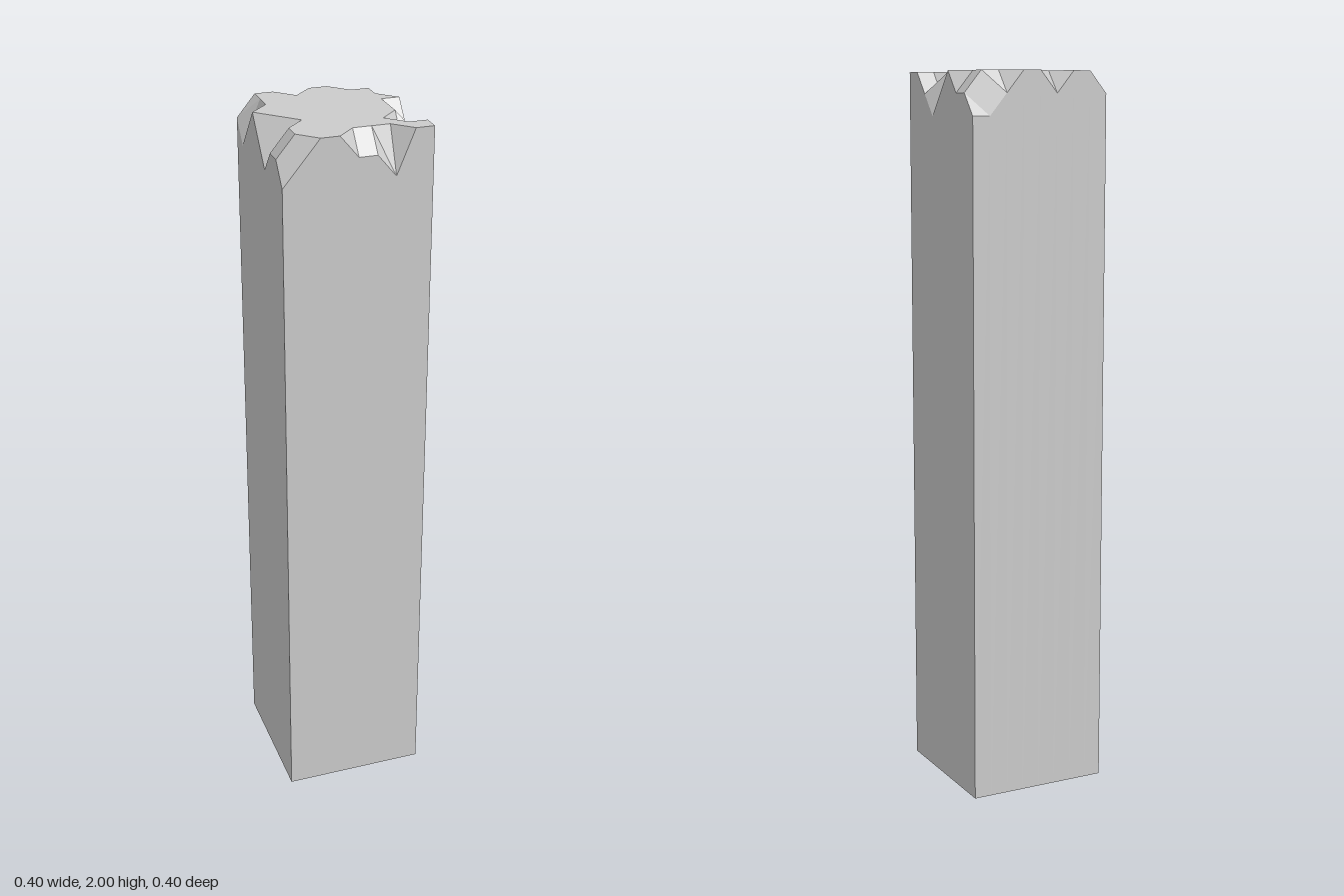
import * as THREE from 'three';

const N = 8, HALF = 0.2, STEP = 0.05, TOP = 2, CHIP = 0.06;

// Chip depth (in CHIP units) on the grid of the top: rows run back to front, columns -x to +x
const chips = [
  '100100122',
  '200000001',
  '100000001',
  '000000000',
  '100000001',
  '210000002',
  '100000011',
  '100000000',
  '210011200',
];
// Cells (column,row) split along the hollow diagonal
const hollow = ['5,7', '0,1', '6,0', '7,3', '7,0'];

const point = (i, j) => [-HALF + i * STEP, TOP - CHIP * Number(chips[j][i]), -HALF + j * STEP];
const foot = (p) => [p[0], 0, p[2]];

function mesh(name, triangles) {
  const geometry = new THREE.BufferGeometry();
  geometry.setAttribute('position', new THREE.Float32BufferAttribute(triangles.flat(2), 3));
  geometry.computeVertexNormals();
  const part = new THREE.Mesh(geometry, new THREE.MeshStandardMaterial({ color: 0xcccccc, flatShading: true }));
  part.name = name;
  return part;
}

// Top surface: flat in the middle, chipped along the rim
function chippedTop() {
  const tris = [];
  for (let j = 0; j < N; j++) {
    for (let i = 0; i < N; i++) {
      const a = point(i, j), b = point(i, j + 1), c = point(i + 1, j + 1), d = point(i + 1, j);
      const ridgeAC = a[1] + c[1] >= b[1] + d[1] - 1e-6;
      if (ridgeAC || hollow.includes(`${i},${j}`)) tris.push([a, b, c], [a, c, d]);
      else tris.push([a, b, d], [b, c, d]);
    }
  }
  return mesh('chippedTop', tris);
}

// Four side walls following the chipped rim, and the base
function shaft() {
  const tris = [];
  const sides = [
    (k) => point(k, N),
    (k) => point(N, N - k),
    (k) => point(N - k, 0),
    (k) => point(0, k),
  ];
  for (const side of sides) {
    for (let k = 0; k < N; k++) {
      const p = side(k), q = side(k + 1);
      tris.push([foot(p), foot(q), q], [foot(p), q, p]);
    }
  }
  const [a, b, c, d] = sides.map((side) => foot(side(0)));
  tris.push([a, c, b], [a, d, c]);
  return mesh('shaft', tris);
}

export function createModel() {
  const group = new THREE.Group();
  group.name = 'chippedPillar';
  group.add(shaft(), chippedTop());
  return group;
}
